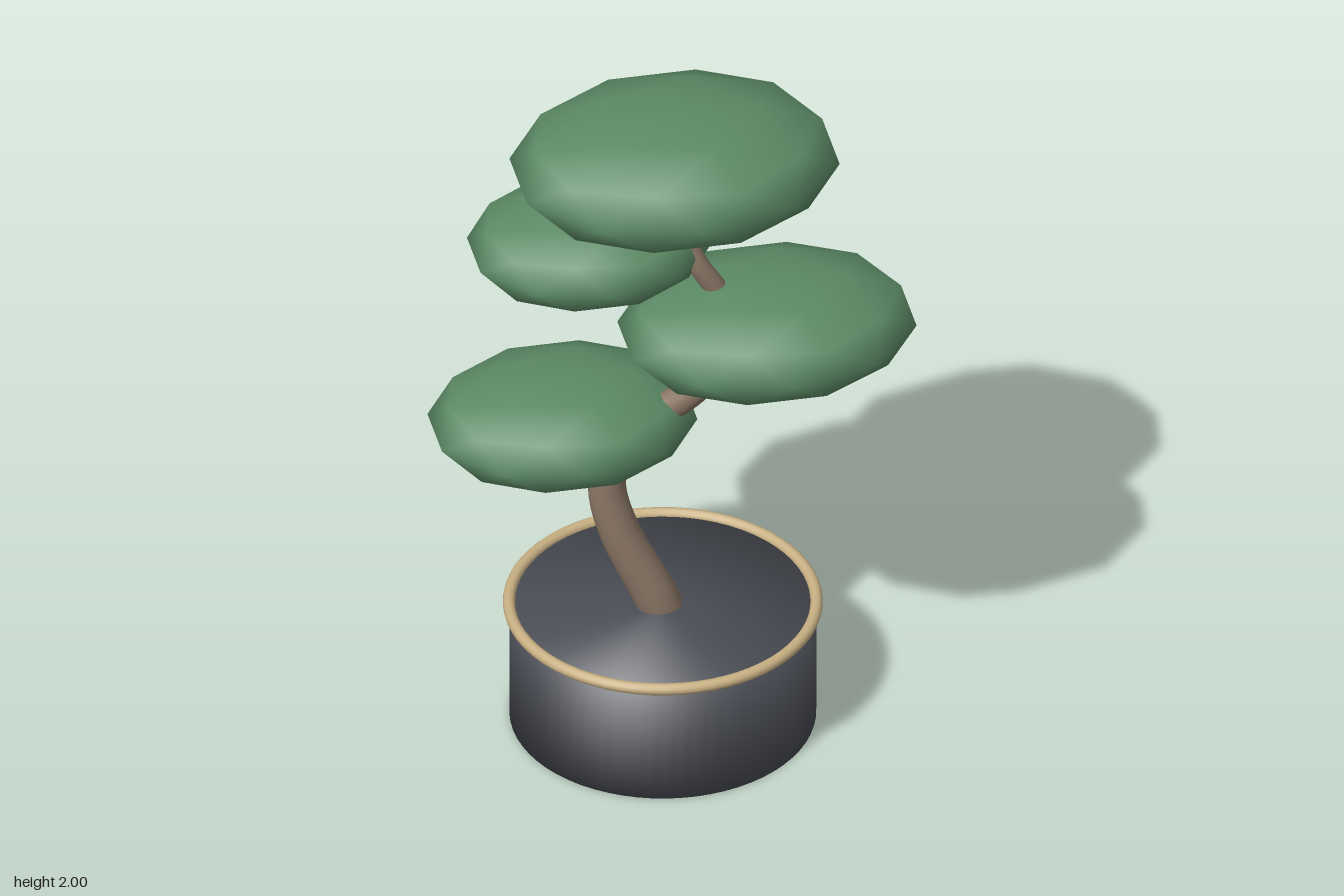
import * as THREE from 'three';

const mat = (name, color) => {
  const m = new THREE.MeshStandardMaterial({ color });
  m.name = name;
  return m;
};

export function createModel() {
  const group = new THREE.Group();
  group.name = 'pottedTree';
  const slate = mat('slate', 0x4b4e56);
  const sand = mat('sand', 0xc8b083);
  const bark = mat('bark', 0x8a7665);
  const leaf = mat('leaf', 0x5c8a65);

  const add = (name, geometry, material, x = 0, y = 0, z = 0) => {
    const mesh = new THREE.Mesh(geometry, material);
    mesh.name = name;
    mesh.position.set(x, y, z);
    group.add(mesh);
    return mesh;
  };

  // Pot: closed drum whose shading runs smoothly over its edges
  const potX = -0.03, potR = 0.422, potH = 0.367;
  const potGeo = new THREE.CylinderGeometry(potR, potR, potH, 64);
  const pos = potGeo.attributes.position;
  for (let i = 0; i < pos.count; i++) {
    potGeo.attributes.normal.setXYZ(i,
      Math.SQRT1_2 * pos.getX(i) / potR,
      Math.SQRT1_2 * Math.sign(pos.getY(i)),
      Math.SQRT1_2 * pos.getZ(i) / potR);
  }
  add('pot', potGeo, slate, potX, potH / 2, 0);

  // Rim ring
  const rimGeo = new THREE.TorusGeometry(0.423, 0.017, 12, 64).rotateX(Math.PI / 2);
  add('potRim', rimGeo, sand, potX, potH, 0);

  // Trunk: winding tube that narrows towards the crown
  const path = new THREE.CatmullRomCurve3([
    [-0.03, 0.33, 0], [-0.055, 0.4, -0.003], [-0.145, 0.6, -0.035],
    [-0.175, 0.74, -0.055], [-0.15, 0.88, -0.055], [-0.08, 0.97, -0.025],
    [0.02, 1.05, 0.015], [0.1, 1.14, 0.035], [0.145, 1.27, 0.05],
    [0.115, 1.41, 0.04], [0.06, 1.51, 0.03], [0.015, 1.63, 0], [0, 1.8, -0.02],
  ].map(p => new THREE.Vector3(...p)));
  const rings = 80, sides = 16;
  const trunkGeo = new THREE.TubeGeometry(path, rings, 1, sides);
  const tp = trunkGeo.attributes.position;
  const v = new THREE.Vector3();
  for (let i = 0; i <= rings; i++) {
    const t = i / rings;
    const centre = path.getPointAt(t);
    const radius = 0.064 - 0.042 * t;
    for (let j = 0; j <= sides; j++) {
      const k = i * (sides + 1) + j;
      v.fromBufferAttribute(tp, k).sub(centre).multiplyScalar(radius).add(centre);
      tp.setXYZ(k, v.x, v.y, v.z);
    }
  }
  add('trunk', trunkGeo, bark);

  // Foliage pads: flattened icospheres with a corner pointing straight up
  const padGeo = new THREE.IcosahedronGeometry(1, 1);
  padGeo.rotateZ(-Math.atan(2 / (1 + Math.sqrt(5))));
  const pads = [
    ['lowerLeafPad', [-0.295, 0.972, -0.08], [0.378, 0.148, 0.3]],
    ['middleLeafPad', [0.25, 1.297, 0.06], [0.42, 0.158, 0.32]],
    ['upperLeafPad', [-0.215, 1.537, -0.1], [0.342, 0.138, 0.28]],
    ['crownLeafPad', [0.008, 1.822, -0.022], [0.463, 0.178, 0.36]],
  ];
  for (const [name, centre, size] of pads) add(name, padGeo, leaf, ...centre).scale.set(...size);

  return group;
}
